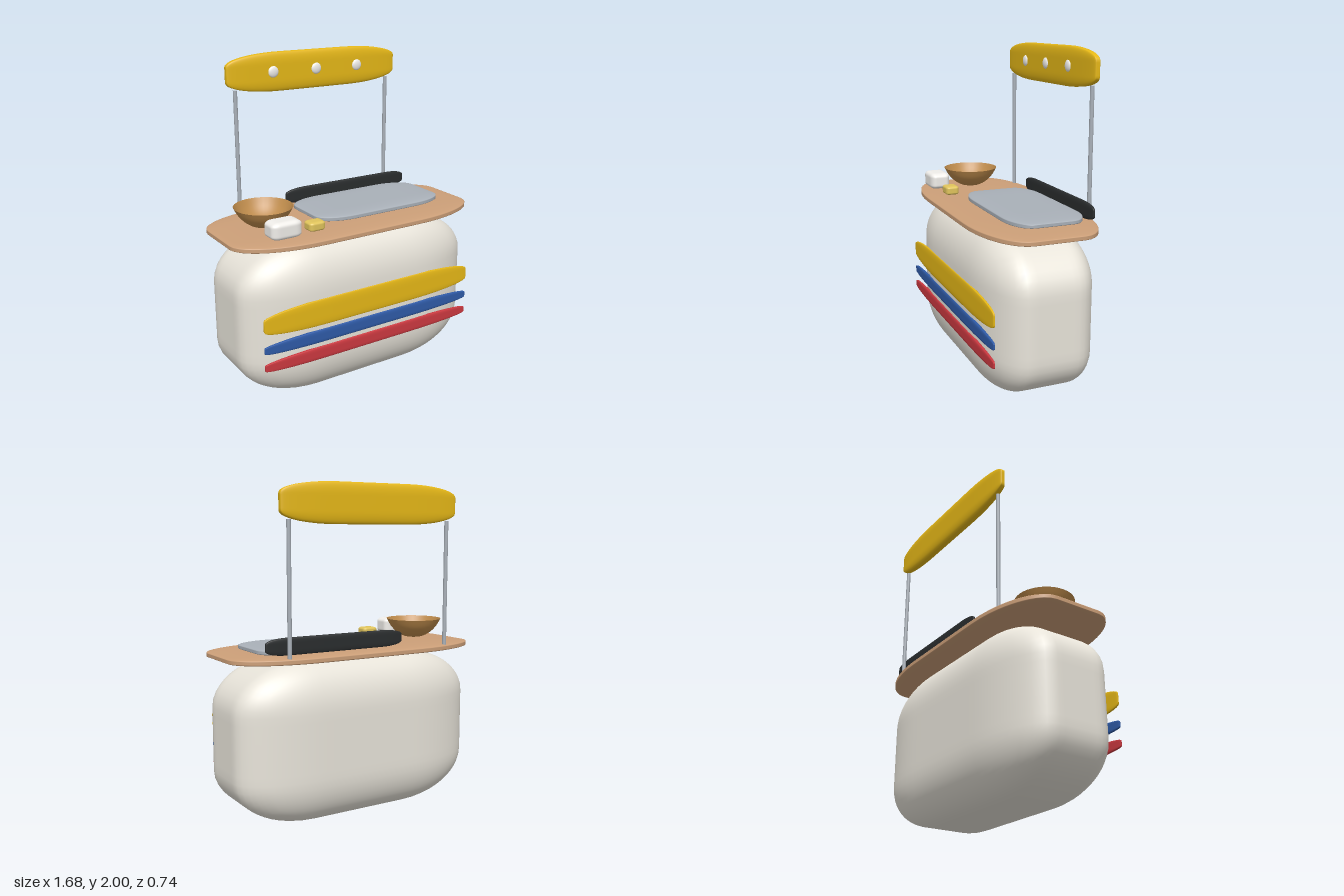
import * as THREE from 'three';
import { mergeVertices } from 'three/addons/utils/BufferGeometryUtils.js';

// Soft pillow box: a cube rounded in unit space, then stretched to the given extents,
// so the rounding on each axis is proportional to its length.
function softBox(x0, x1, y0, y1, z0, z1, round = [0.6, 0.6, 0.6]) {
  const geo = new THREE.BoxGeometry(2, 2, 2, 20, 20, 20);
  geo.deleteAttribute('normal');
  geo.deleteAttribute('uv');
  const g = mergeVertices(geo);
  const pos = g.attributes.position;
  for (let i = 0; i < pos.count; i++) {
    const p = [pos.getX(i), pos.getY(i), pos.getZ(i)];
    const core = p.map((v, k) => THREE.MathUtils.clamp(v, round[k] - 1, 1 - round[k]));
    const d = p.map((v, k) => (v - core[k]) / round[k]);
    const len = Math.hypot(...d);
    const q = core.map((v, k) => v + (round[k] * d[k]) / len);
    pos.setXYZ(i, q[0], q[1], q[2]);
  }
  g.scale((x1 - x0) / 2, (y1 - y0) / 2, (z1 - z0) / 2);
  g.translate((x0 + x1) / 2, (y0 + y1) / 2, (z0 + z1) / 2);
  g.computeVertexNormals();
  return g;
}

export function createModel() {
  const group = new THREE.Group();
  const mat = (color) => new THREE.MeshStandardMaterial({ color });
  const cream = mat(0xe8e4da);
  const wood = mat(0xcc9f78);
  const yellow = mat(0xe6b817);
  const blue = mat(0x2f5ba8);
  const red = mat(0xcc3940);
  const steel = mat(0xa9b0b8);
  const black = mat(0x2a2d2e);
  const white = mat(0xf0eeea);
  const butter = mat(0xe0c45c);
  const bowlMat = mat(0xbf8c4c);
  bowlMat.side = THREE.DoubleSide;

  const add = (name, geometry, material) => {
    const mesh = new THREE.Mesh(geometry, material);
    mesh.name = name;
    group.add(mesh);
    return mesh;
  };

  // Cart body and counter
  add('body', softBox(-0.815, 0.815, 0.005, 0.985, -0.345, 0.345), cream);
  add('counter', softBox(-0.84, 0.84, 0.98, 1.036, -0.37, 0.37), wood);

  // Front stripes
  const stripes = [
    ['yellowStripe', 0.49, 0.655, yellow],
    ['blueStripe', 0.38, 0.462, blue],
    ['redStripe', 0.27, 0.352, red],
  ];
  for (const [name, y0, y1, m] of stripes) {
    add(name, softBox(-0.74, 0.74, y0, y1, 0.331, 0.355), m);
  }

  // Sign on two posts
  add('signBoard', softBox(-0.6, 0.6, 1.765, 2, -0.358, -0.296), yellow);
  for (const side of [-1, 1]) {
    const post = add(side < 0 ? 'rightPost' : 'leftPost',
      new THREE.CylinderGeometry(0.0125, 0.0125, 0.79, 16), steel);
    post.position.set(side * 0.545, 1.395, -0.325);
  }

  // Sign lights
  for (const x of [-0.3, 0, 0.3]) {
    const light = add('signLight', new THREE.SphereGeometry(0.035, 24, 16), white);
    light.scale.z = 0.4;
    light.position.set(x, 1.885, -0.298);
  }

  // Griddle with splash guard
  const flat = [0.5, 0.6, 0.5];
  add('griddle', softBox(-0.24, 0.675, 1.03, 1.076, -0.285, 0.185, flat), steel);
  add('splashGuard', softBox(-0.24, 0.675, 1.04, 1.14, -0.3, -0.273, [0.3, 0.6, 0.6]), black);

  // Open bowl
  const profile = new THREE.SplineCurve([
    [0, 1.04], [0.06, 1.046], [0.112, 1.075], [0.15, 1.115], [0.177, 1.162],
  ].map(([x, y]) => new THREE.Vector2(x, y)));
  const bowl = add('bowl', new THREE.LatheGeometry(profile.getPoints(16), 40), bowlMat);
  bowl.position.x = -0.547;

  // Small containers on the counter
  const small = [0.5, 0.5, 0.5];
  add('whiteContainer', softBox(-0.645, -0.45, 1.045, 1.148, 0.175, 0.305, small), white);
  add('yellowBlock', softBox(-0.382, -0.275, 1.04, 1.096, 0.175, 0.262, small), butter);

  return group;
}
